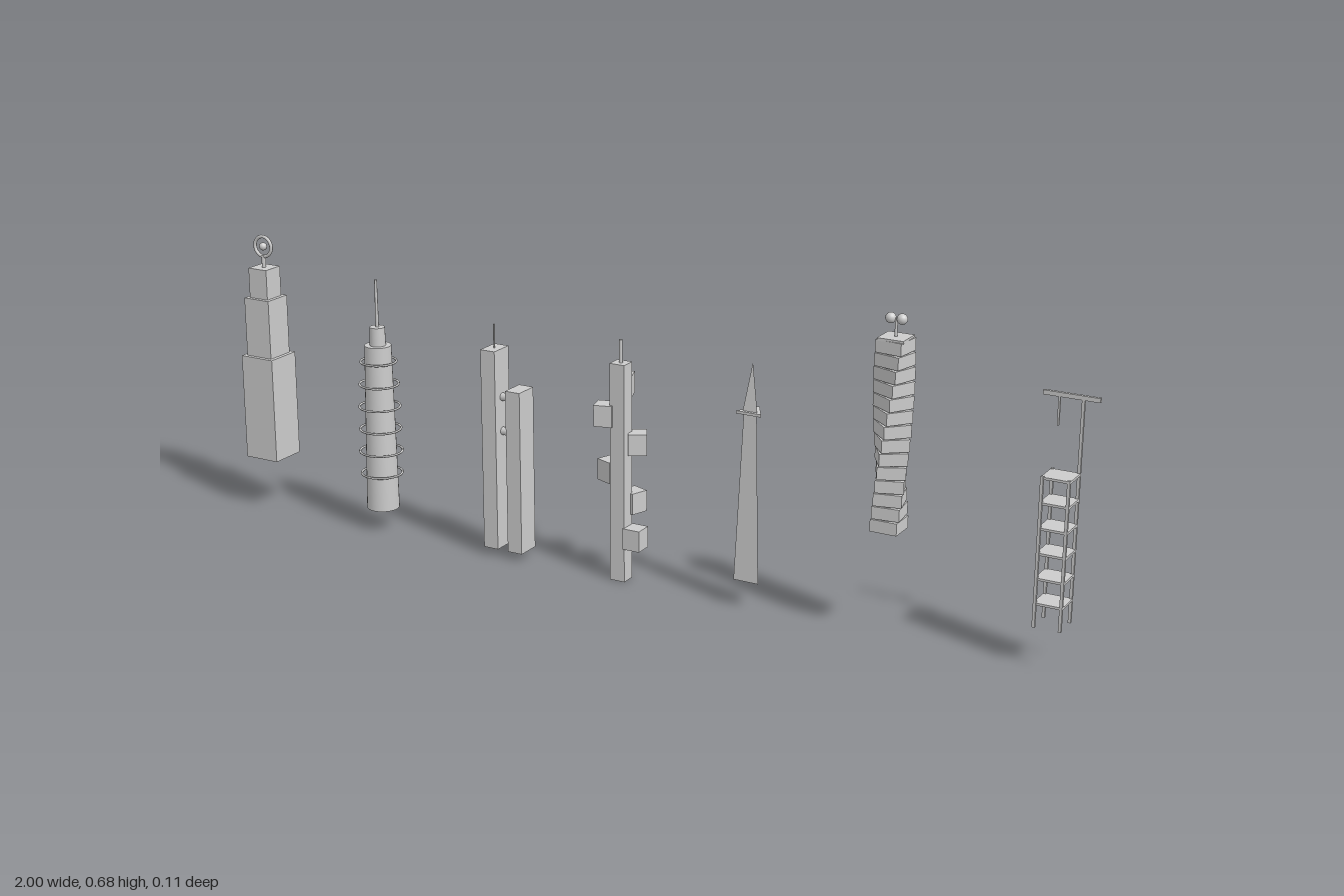
import * as THREE from 'three';

export function createModel() {
  const model = new THREE.Group();
  model.name = 'towerRow';
  const grey = new THREE.MeshStandardMaterial({ color: 0xcccccc });
  grey.name = 'light grey';
  const Z = 0.008; // common centre line of the towers

  const tower = (name, x, z = Z) => {
    const g = new THREE.Group();
    g.name = name;
    g.position.set(x, 0, z);
    model.add(g);
    return g;
  };
  const add = (g, name, geo, x = 0, y = 0, z = 0) => {
    const m = new THREE.Mesh(geo, grey);
    m.name = name;
    m.position.set(x, y, z);
    g.add(m);
    return m;
  };
  // Box and round post given by bottom and top heights
  const block = (g, name, w, d, y0, y1, x = 0, z = 0) =>
    add(g, name, new THREE.BoxGeometry(w, y1 - y0, d), x, (y0 + y1) / 2, z);
  const post = (g, name, r0, r1, y0, y1, x = 0, z = 0, sides = 20) =>
    add(g, name, new THREE.CylinderGeometry(r1, r0, y1 - y0, sides), x, (y0 + y1) / 2, z);

  // Stepped tower with an upright ring on top
  const stepped = tower('steppedTower', -0.957);
  block(stepped, 'lowerTier', 0.086, 0.086, 0.123, 0.367);
  block(stepped, 'middleTier', 0.068, 0.068, 0.367, 0.503);
  block(stepped, 'upperTier', 0.05, 0.05, 0.503, 0.572);
  post(stepped, 'ringStem', 0.005, 0.005, 0.572, 0.6, 0, 0, 10);
  add(stepped, 'crownRing', new THREE.TorusGeometry(0.023, 0.004, 8, 28), 0, 0.62);
  add(stepped, 'ringHub', new THREE.SphereGeometry(0.009, 14, 10), 0, 0.62);

  // Round tower with hoops
  const round = tower('hoopedTower', -0.646);
  post(round, 'roundShaft', 0.037, 0.03, 0.05, 0.433, 0, 0, 28);
  post(round, 'roundCap', 0.018, 0.017, 0.433, 0.475);
  post(round, 'roundAntenna', 0.004, 0.003, 0.475, 0.583, 0, 0, 8);
  [0.046, 0.048, 0.046, 0.046, 0.044, 0.04].forEach((r, i) => {
    const hoop = add(round, 'hoop', new THREE.TorusGeometry(r, 0.0025, 6, 36), 0, 0.133 + i * 0.0525);
    hoop.rotation.x = Math.PI / 2;
  });

  // Twin slabs joined by round bridges
  const twin = tower('twinTower', -0.305);
  block(twin, 'tallSlab', 0.036, 0.056, 0.018, 0.472, -0.031);
  block(twin, 'shortSlab', 0.036, 0.056, 0.018, 0.388, 0.031);
  post(twin, 'slabAntenna', 0.002, 0.002, 0.472, 0.525, -0.031, 0, 8);
  for (const y of [0.286, 0.364]) {
    const bridge = add(twin, 'bridge', new THREE.CylinderGeometry(0.009, 0.009, 0.034, 14), 0, y);
    bridge.rotation.z = Math.PI / 2;
  }

  // Slim core with pods turned around it: [angle in degrees, height]
  const podTower = tower('podTower', -0.02);
  block(podTower, 'core', 0.035, 0.034, 0, 0.486);
  post(podTower, 'coreAntenna', 0.004, 0.004, 0.486, 0.536, 0, 0, 8);
  const pods = [[0, 0.1], [70, 0.171], [160, 0.24], [30, 0.309], [195, 0.37], [110, 0.428]];
  for (const [deg, y] of pods) {
    const a = THREE.MathUtils.degToRad(deg);
    const pod = add(podTower, 'pod', new THREE.BoxGeometry(0.04, 0.047, 0.04),
      0.035 * Math.cos(a), y, -0.035 * Math.sin(a));
    pod.rotation.y = a;
  }

  // Three-sided tapering spire, one edge to the back
  const spire = tower('triangularTower', 0.289);
  spire.rotation.y = Math.PI;
  const tri = (name, r0, r1, y0, y1) => {
    const geo = new THREE.CylinderGeometry(r1, r0, y1 - y0, 3).toNonIndexed();
    geo.computeVertexNormals();
    add(spire, name, geo, 0, (y0 + y1) / 2);
  };
  tri('taperedShaft', 0.033, 0.017, 0.06, 0.426);
  tri('shoulderPlate', 0.033, 0.033, 0.424, 0.43);
  tri('spireTip', 0.019, 0.0005, 0.43, 0.53);

  // Twisted stack of square floors with twin balls
  const twist = tower('twistedTower', 0.599);
  for (let i = 0; i < 14; i++) {
    const y = 0.23 + i * 0.0286;
    block(twist, 'floor', 0.058, 0.058, y, y + 0.026).rotation.y = THREE.MathUtils.degToRad(i * 6.43);
  }
  post(twist, 'innerCore', 0.025, 0.025, 0.24, 0.62);
  block(twist, 'roofPlate', 0.056, 0.056, 0.626, 0.632);
  post(twist, 'ballStem', 0.003, 0.003, 0.63, 0.667, 0, 0, 8);
  post(twist, 'ballBar', 0.002, 0.002, 0.656, 0.68, 0, 0, 8).rotation.z = Math.PI / 2;
  for (const s of [-1, 1]) add(twist, 'ball', new THREE.SphereGeometry(0.011, 18, 12), s * 0.012, 0.668);

  // Open frame under construction, with a crane on the back left post
  const frame = tower('frameTower', 0.939, -0.021);
  for (const sx of [-1, 1]) for (const sz of [-1, 1]) {
    const mast = sx > 0 && sz < 0;
    block(frame, mast ? 'craneMast' : 'framePost', 0.006, 0.006, 0.085, mast ? 0.546 : 0.398, sx * 0.027, sz * 0.028);
  }
  for (let i = 0; i < 6; i++) {
    const y = 0.134 + i * 0.052;
    block(frame, 'deck', 0.06, 0.058, y - 0.0025, y + 0.0025);
  }
  block(frame, 'craneBoom', 0.115, 0.007, 0.544, 0.553, 0.0035, -0.028);
  block(frame, 'craneRope', 0.004, 0.004, 0.486, 0.545, -0.021, -0.028);

  return model;
}
